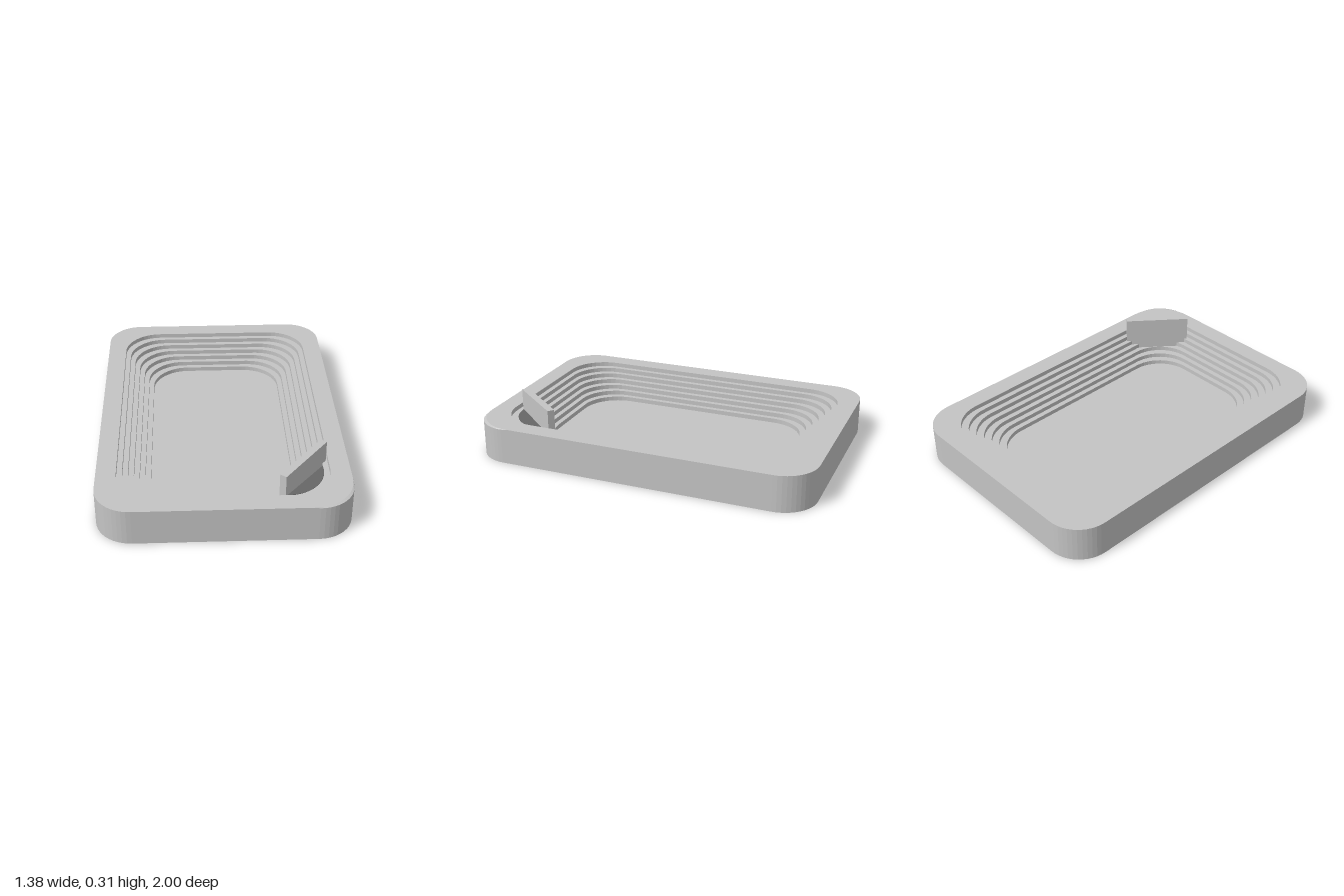
import * as THREE from 'three';

const RIM_Y = 0.21, FLOOR_Y = 0.025, STEPS = 7;

// Rounded rectangle loop; the front-left corner may have its own radius
function loop(hw, hz, r, y, frontLeftR = r) {
  const pts = [], seg = 12;
  [[1, 1], [-1, 1], [-1, -1], [1, -1]].forEach(([sx, sz], k) => {
    const cr = k === 0 ? frontLeftR : r;
    for (let i = 0; i <= seg; i++) {
      const a = (k + i / seg) * Math.PI / 2;
      pts.push([sx * (hw - cr) + cr * Math.cos(a), y, sz * (hz - cr) + cr * Math.sin(a)]);
    }
  });
  return pts;
}

// Skin a series of loops with flat faces
function loft(loops) {
  const pos = [];
  for (let l = 0; l < loops.length - 1; l++) {
    const a = loops[l], b = loops[l + 1];
    for (let i = 0; i < a.length; i++) {
      const j = (i + 1) % a.length;
      pos.push(...a[i], ...b[i], ...b[j], ...a[i], ...b[j], ...a[j]);
    }
  }
  const g = new THREE.BufferGeometry();
  g.setAttribute('position', new THREE.Float32BufferAttribute(pos, 3));
  g.computeVertexNormals();
  return g;
}

export function createModel() {
  const group = new THREE.Group();
  const grey = new THREE.MeshStandardMaterial({ color: 0xc4c4c4 });
  grey.name = 'light grey';
  const dark = new THREE.MeshStandardMaterial({ color: 0x666666 });
  dark.name = 'dark grey';

  const add = (name, geometry, material) => {
    const mesh = new THREE.Mesh(geometry, material);
    mesh.name = name;
    group.add(mesh);
    return mesh;
  };

  // Tray: underside, outer wall, rim with one eased corner, then the steps down to the floor
  const loops = [
    loop(0, 0, 0, 0),
    loop(0.69, 1, 0.2, 0),
    loop(0.69, 1, 0.2, RIM_Y - 0.005),
    loop(0.69, 1, 0.2, RIM_Y, 0.24),
  ];
  const drop = (RIM_Y - FLOOR_Y) / STEPS;
  for (let i = 0; i < STEPS; i++) {
    const hw = 0.58 - 0.03 * i, hz = 0.89 - 0.03 * i;
    loops.push(loop(hw, hz, 0.22, RIM_Y - drop * i));
    loops.push(loop(hw, hz, 0.22, RIM_Y - drop * (i + 1)));
  }
  loops.push(loop(0, 0, 0, FLOOR_Y));
  add('steppedTray', loft(loops), grey);

  // Upright plate set across the front-left corner, sunk into the steps
  const plate = add('cornerPlate', new THREE.BoxGeometry(0.04, 0.24, 0.4), grey);
  plate.position.set(0.43, 0.19, 0.7);
  plate.rotation.y = -0.68;

  // Dark pocket floor between plate and rim
  const shape = new THREE.Shape();
  shape.absarc(0.33, 0.64, 0.22, -0.15, Math.PI / 2, false);
  shape.closePath();
  const pocket = new THREE.ExtrudeGeometry(shape, { depth: 0.008, bevelEnabled: false, curveSegments: 16 });
  pocket.rotateX(Math.PI / 2);
  add('cornerPocket', pocket, dark).position.y = 0.186;

  return group;
}
